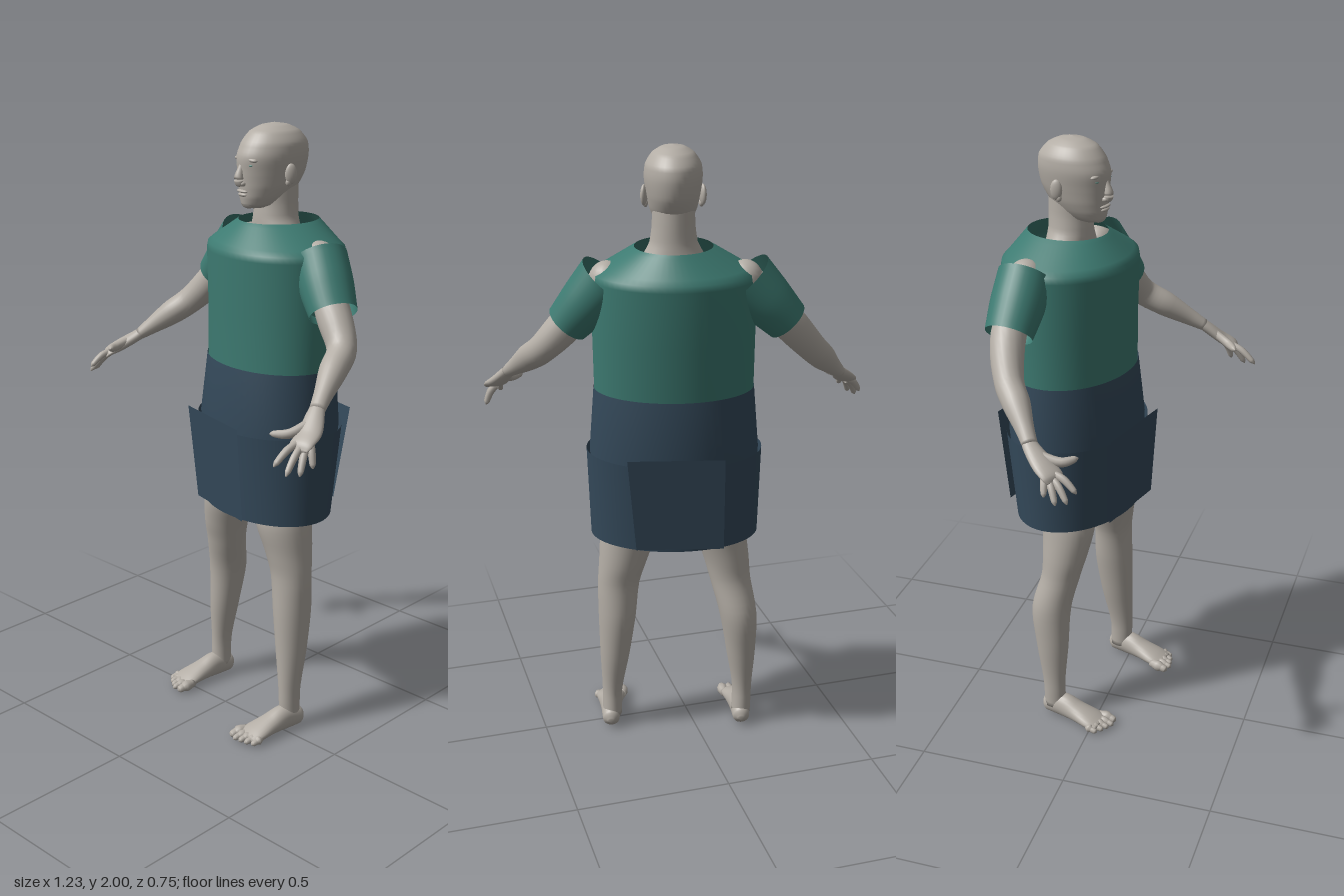
import * as THREE from 'three';

const V3 = (a) => new THREE.Vector3(a[0], a[1], a[2]);

// Sweeps elliptical sections along points [x, y, z, radiusU, radiusV].
// flat: sections stay horizontal (U = z, V = x, listed bottom to top).
function sweep(pts, { flat = false, smooth = true, sides = 24, sub = 5, caps = true } = {}) {
  const path = new THREE.CatmullRomCurve3(pts.map(V3));
  const size = new THREE.CatmullRomCurve3(pts.map((p) => new THREE.Vector3(p[3], p[4] ?? p[3], 0)));
  const n = (pts.length - 1) * (smooth ? sub : 1);
  const up = new THREE.Vector3(0, 1, 0);
  const pos = [], idx = [];
  for (let j = 0; j <= n; j++) {
    const t = j / n;
    const c = smooth ? path.getPoint(t) : V3(pts[j]);
    const r = smooth ? size.getPoint(t) : new THREE.Vector3(pts[j][3], pts[j][4], 0);
    let U = new THREE.Vector3(0, 0, 1), V = new THREE.Vector3(1, 0, 0);
    if (!flat) {
      const T = path.getTangent(t);
      V = up.clone().cross(T).normalize();
      U = V.clone().cross(T);
    }
    for (let i = 0; i < sides; i++) {
      const a = (i / sides) * Math.PI * 2;
      const p = c.clone()
        .addScaledVector(U, Math.cos(a) * Math.max(r.x, 0.0005))
        .addScaledVector(V, Math.sin(a) * Math.max(r.y, 0.0005));
      pos.push(p.x, p.y, p.z);
      if (j < n) {
        const k = (i + 1) % sides, o = j * sides, q = o + sides;
        idx.push(o + i, o + k, q + i, o + k, q + k, q + i);
      }
    }
  }
  if (caps) {
    for (let i = 1; i < sides - 1; i++) {
      idx.push(0, i + 1, i, n * sides, n * sides + i, n * sides + i + 1);
    }
  }
  const g = new THREE.BufferGeometry();
  g.setAttribute('position', new THREE.Float32BufferAttribute(pos, 3));
  g.setIndex(idx);
  g.computeVertexNormals();
  return g;
}

export function createModel() {
  const model = new THREE.Group();
  const material = (name, color, side = THREE.FrontSide) => {
    const m = new THREE.MeshStandardMaterial({ color, side });
    m.name = name;
    return m;
  };
  const skin = material('skin', 0xb3ada5);
  const shirtCloth = material('shirt green', 0x3d7a71, THREE.DoubleSide);
  const skirtCloth = material('skirt blue', 0x34495a, THREE.DoubleSide);
  const eyeColor = material('eye green', 0x6f9a90);

  const add = (parent, name, geo, mat) => {
    const m = new THREE.Mesh(geo, mat);
    m.name = name;
    parent.add(m);
    return m;
  };
  const ball = (parent, name, mat, p, s) => {
    const m = add(parent, name, new THREE.SphereGeometry(1, 20, 14), mat);
    m.position.set(...p);
    m.scale.set(...s);
    return m;
  };

  // Trunk group: turned slightly to the figure's right
  const trunk = new THREE.Group();
  trunk.name = 'trunk';
  trunk.position.set(0.08, 0, -0.15);
  trunk.rotation.y = -0.245;
  model.add(trunk);

  // Body and neck
  add(trunk, 'bodyAndNeck', sweep([
    [0, 0.84, 0, 0.06, 0.1], [0, 0.92, 0, 0.1, 0.15], [0, 1.15, 0, 0.09, 0.13],
    [0, 1.45, 0, 0.1, 0.15], [0, 1.6, -0.005, 0.085, 0.14], [0, 1.66, 0, 0.075, 0.1],
    [0, 1.71, 0.002, 0.072, 0.073], [0, 1.76, 0, 0.07, 0.066], [0, 1.82, 0, 0.07, 0.064],
  ], { flat: true }), skin);

  // Head
  const head = new THREE.Group();
  head.name = 'head';
  trunk.add(head);
  add(head, 'skull', sweep([
    [0, 1.742, 0.075, 0.034, 0.024], [0, 1.753, 0.058, 0.068, 0.045], [0, 1.778, 0.043, 0.088, 0.061],
    [0, 1.81, 0.03, 0.103, 0.073], [0, 1.85, 0.02, 0.116, 0.081], [0, 1.9, 0.016, 0.122, 0.088],
    [0, 1.94, 0.01, 0.112, 0.085], [0, 1.975, 0.01, 0.083, 0.064], [0, 1.993, 0.01, 0.045, 0.035],
    [0, 2, 0.01, 0.001, 0.001],
  ], { flat: true, sides: 36 }), skin);
  add(head, 'nose', sweep([
    [0, 1.892, 0.126, 0.004, 0.006], [0, 1.865, 0.133, 0.011, 0.01],
    [0, 1.835, 0.14, 0.016, 0.016], [0, 1.818, 0.137, 0.012, 0.017], [0, 1.812, 0.132, 0.001, 0.001],
  ], { sides: 16 }), skin);
  ball(head, 'upperLip', skin, [0, 1.796, 0.127, ], [0.026, 0.006, 0.012]);
  ball(head, 'lowerLip', skin, [0, 1.785, 0.125], [0.022, 0.007, 0.012]);
  ball(head, 'chin', skin, [0, 1.756, 0.105], [0.028, 0.016, 0.02]);
  for (const s of [-1, 1]) {
    ball(head, 'eye', eyeColor, [s * 0.034, 1.878, 0.113], [0.013, 0.007, 0.014]);
    ball(head, 'brow', skin, [s * 0.034, 1.895, 0.114], [0.024, 0.008, 0.014]).rotation.z = -s * 0.12;
    ball(head, 'nostril', skin, [s * 0.013, 1.82, 0.133], [0.008, 0.008, 0.011]);
    const ear = ball(head, 'ear', skin, [s * 0.088, 1.85, 0.006], [0.01, 0.032, 0.019]);
    ear.rotation.y = -s * 0.35;
    ball(head, 'earLobe', skin, [s * 0.084, 1.824, 0.012], [0.008, 0.012, 0.01]);
  }

  // Shirt, open at neck and hem
  const cloth = { flat: true, smooth: false, caps: false, sides: 64 };
  add(trunk, 'shirt', sweep([
    [0, 1.235, 0.015, 0.183, 0.25], [0, 1.42, 0.005, 0.195, 0.252], [0, 1.6, 0, 0.207, 0.253],
    [0, 1.62, 0, 0.203, 0.25], [0, 1.635, 0, 0.19, 0.228], [0, 1.69, -0.008, 0.142, 0.137],
    [0, 1.7, -0.01, 0.132, 0.12],
  ], cloth), shirtCloth);

  // Skirt with a wrapped lower band and flat front and back flaps
  add(trunk, 'skirt', sweep([
    [0, 0.755, 0.03, 0.18, 0.263], [0, 1.05, 0.02, 0.207, 0.268], [0, 1.25, 0.015, 0.187, 0.252],
  ], cloth), skirtCloth);
  add(trunk, 'skirtBand', sweep([
    [0, 0.75, 0.03, 0.186, 0.27], [0, 1.045, 0.02, 0.216, 0.279],
  ], cloth), skirtCloth);
  const flap = (name, zBottom, zTop) => {
    const g = new THREE.PlaneGeometry(0.3, 0.315);
    const p = g.attributes.position;
    for (let i = 0; i < p.count; i++) {
      const top = p.getY(i) > 0;
      if (!top && p.getX(i) < 0) p.setX(i, -0.125);
      p.setZ(i, top ? zTop : zBottom);
    }
    if (zTop < 0) g.rotateY(0).scale(-1, 1, 1);
    g.computeVertexNormals();
    add(trunk, name, g, skirtCloth).position.y = 0.918;
  };
  flap('frontFlap', 0.22, 0.241);
  flap('backFlap', -0.16, -0.2);

  // Arms: sleeve, limb, palm, fingers and thumb
  const arms = [
    {
      side: 'left', shoulder: [0.283, 1.602, -0.125], sleeveEnd: [0.395, 1.457, -0.065],
      elbow: [0.468, 1.368, -0.02], wrist: [0.545, 1.24, 0.18], palm: [0.57, 1.19, 0.24],
      tips: [[0.545, 1.115, 0.365], [0.588, 1.095, 0.36], [0.605, 1.088, 0.32], [0.611, 1.1, 0.27]],
      thumb: [0.478, 1.185, 0.31],
    },
    {
      side: 'right', shoulder: [-0.122, 1.602, -0.228], sleeveEnd: [-0.257, 1.46, -0.238],
      elbow: [-0.36, 1.352, -0.2], wrist: [-0.5, 1.225, -0.085], palm: [-0.545, 1.185, -0.025],
      tips: [[-0.572, 1.125, 0.082], [-0.598, 1.1, 0.062], [-0.611, 1.098, 0.03], [-0.612, 1.12, -0.005]],
      thumb: [-0.492, 1.2, 0.062],
    },
  ];
  const mix = (a, b, t, lift = 0) => [0, 1, 2].map((i) => a[i] + (b[i] - a[i]) * t + (i === 1 ? lift : 0));
  for (const a of arms) {
    const arm = new THREE.Group();
    arm.name = a.side + 'Arm';
    model.add(arm);
    add(arm, 'sleeve', sweep([
      [...a.shoulder, 0.094, 0.088], [...mix(a.shoulder, a.sleeveEnd, 0.5), 0.084, 0.086], [...a.sleeveEnd, 0.07, 0.076],
    ], { caps: false, sides: 32 }), shirtCloth);
    ball(arm, 'shoulder', skin, a.shoulder, [0.055, 0.056, 0.055]);
    add(arm, 'limb', sweep([
      [...a.shoulder, 0.05], [...a.sleeveEnd, 0.055], [...a.elbow, 0.046],
      [...mix(a.elbow, a.wrist, 0.35), 0.043], [...mix(a.elbow, a.wrist, 0.75), 0.029], [...a.wrist, 0.02, 0.024],
    ]), skin);
    const knuckles = mix(a.palm, a.tips[1], 0.36, 0.012);
    add(arm, 'palm', sweep([
      [...mix(a.elbow, a.wrist, 0.9), 0.018, 0.02], [...a.wrist, 0.019, 0.025], [...a.palm, 0.018, 0.038],
      [...knuckles, 0.012, 0.038], [...mix(a.palm, a.tips[1], 0.48, 0.01), 0.003, 0.028],
    ]), skin);
    a.tips.forEach((tip) => add(arm, 'finger', sweep([
      [...mix(a.palm, tip, 0.2), 0.011], [...mix(a.palm, tip, 0.6, 0.012), 0.0115],
      [...mix(a.palm, tip, 0.92, 0.004), 0.009], [...tip, 0.002],
    ], { sides: 10 }), skin));
    add(arm, 'thumb', sweep([
      [...mix(a.wrist, a.palm, 0.4), 0.014], [...mix(a.palm, a.thumb, 0.5), 0.015],
      [...mix(a.palm, a.thumb, 0.9), 0.01], [...a.thumb, 0.002],
    ], { sides: 10 }), skin);
  }

  // Legs and feet
  const legs = [
    {
      side: 'left', out: 1, heel: [0.277, -0.035], front: [0.24, 0.125],
      limb: [
        [0.272, 0.04, -0.033, 0.038, 0.032], [0.27, 0.13, -0.032, 0.04, 0.033], [0.262, 0.28, -0.047, 0.056, 0.049],
        [0.254, 0.43, -0.057, 0.067, 0.062], [0.247, 0.55, -0.058, 0.066, 0.069], [0.232, 0.63, -0.06, 0.078, 0.079],
        [0.208, 0.74, -0.06, 0.095, 0.094], [0.185, 0.92, -0.09, 0.1, 0.095],
      ],
    },
    {
      side: 'right', out: -1, heel: [-0.157, -0.145], front: [-0.194, 0.028],
      limb: [
        [-0.158, 0.04, -0.144, 0.037, 0.032], [-0.16, 0.13, -0.146, 0.038, 0.032], [-0.152, 0.28, -0.153, 0.055, 0.048],
        [-0.139, 0.43, -0.158, 0.067, 0.062], [-0.119, 0.55, -0.13, 0.066, 0.068], [-0.107, 0.63, -0.118, 0.076, 0.076],
        [-0.082, 0.74, -0.112, 0.09, 0.088], [-0.04, 0.92, -0.14, 0.1, 0.095],
      ],
    },
  ];
  for (const l of legs) {
    const leg = new THREE.Group();
    leg.name = l.side + 'Leg';
    model.add(leg);
    add(leg, 'limb', sweep(l.limb, { flat: true, sides: 32 }), skin);
    const dir = new THREE.Vector2(l.front[0] - l.heel[0], l.front[1] - l.heel[1]).normalize();
    // Point on the foot: along its length, across it outwards
    const at = (along, across, y) => [
      l.heel[0] + dir.x * along + dir.y * across * l.out, y, l.heel[1] + dir.y * along - dir.x * across * l.out,
    ];
    add(leg, 'foot', sweep([
      [...at(-0.045, 0, 0.03), 0.008, 0.01], [...at(-0.03, 0, 0.034), 0.031, 0.028], [...at(0.03, 0, 0.044), 0.044, 0.034],
      [...at(0.09, 0, 0.034), 0.033, 0.041], [...at(0.15, 0, 0.022), 0.021, 0.05], [...at(0.185, 0, 0.015), 0.011, 0.045],
    ]), skin);
    for (let i = 0; i < 5; i++) {
      const big = i === 0, across = -0.04 + i * 0.021 + (big ? -0.004 : 0);
      const end = [0.218, 0.222, 0.214, 0.205, 0.192][i], r = big ? 0.014 : 0.0105;
      add(leg, 'toe', sweep([
        [...at(0.15, across * 0.9, 0.018), r], [...at(end - 0.022, across, 0.015), r],
        [...at(end - 0.006, across, 0.011), r * 0.85], [...at(end, across, 0.009), 0.002],
      ], { sides: 10 }), skin);
    }
  }
  return model;
}
